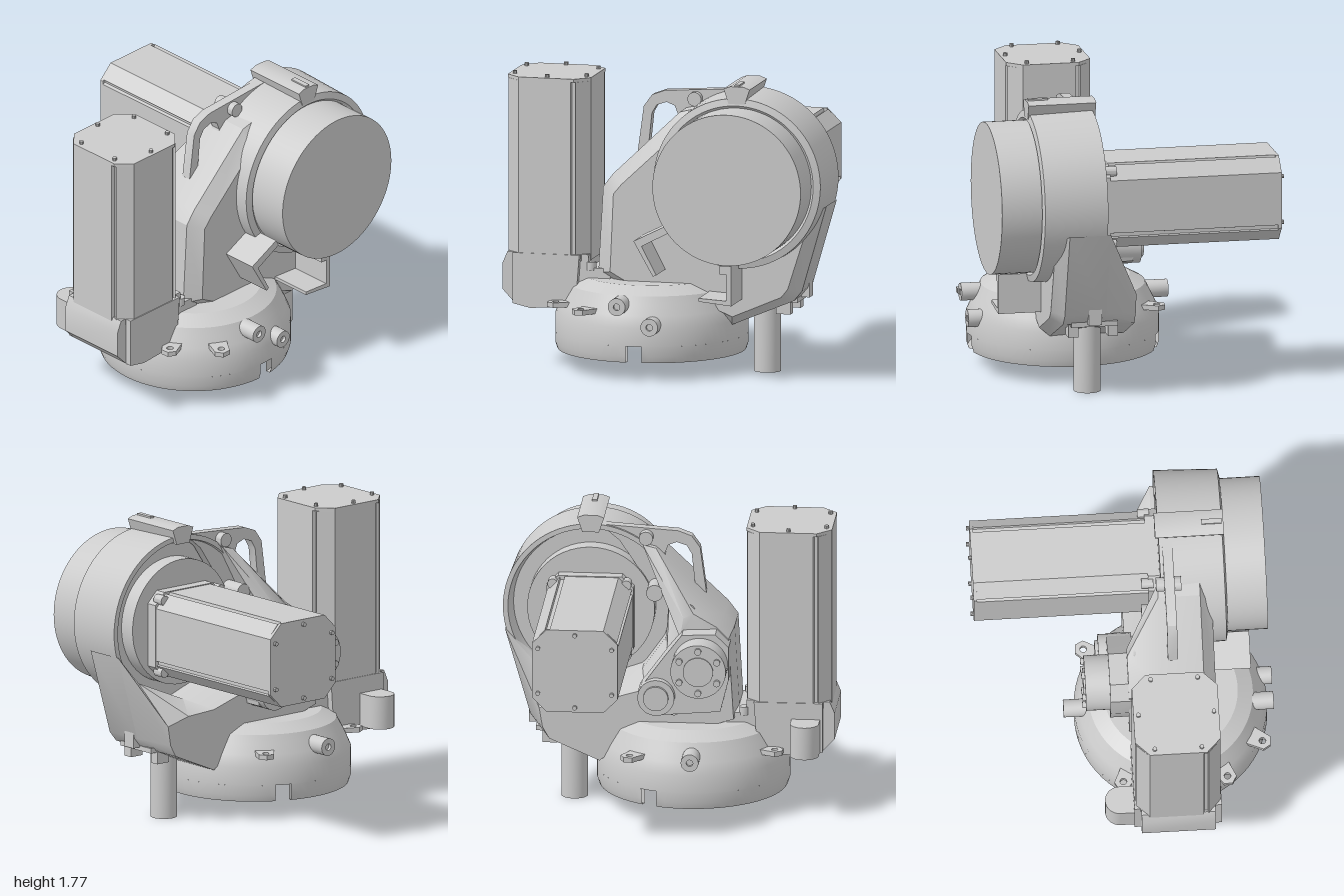
import * as THREE from 'three';
import { toCreasedNormals } from 'three/addons/utils/BufferGeometryUtils.js';

const mat = new THREE.MeshStandardMaterial({ color: 0xcccccc, side: THREE.DoubleSide });
const V = (pts) => pts.map(([x, y]) => new THREE.Vector2(x, y));

export function createModel() {
  const model = new THREE.Group();

  const add = (name, geo, x = 0, y = 0, z = 0, parent = model) => {
    const m = new THREE.Mesh(toCreasedNormals(geo, 0.5), mat);
    m.name = name;
    m.position.set(x, y, z);
    parent.add(m);
    return m;
  };
  const box = (name, x0, x1, y0, y1, z0, z1) =>
    add(name, new THREE.BoxGeometry(x1 - x0, y1 - y0, z1 - z0), (x0 + x1) / 2, (y0 + y1) / 2, (z0 + z1) / 2);
  // cylinder along z, from z0 to z1
  const rod = (name, r, x, y, z0, z1, parent = model, seg = 28) =>
    add(name, new THREE.CylinderGeometry(r, r, z1 - z0, seg).rotateX(Math.PI / 2), x, y, (z0 + z1) / 2, parent);
  // flat plate in the xy plane, from z0 to z1
  const plate = (name, pts, z0, z1, hole, parent = model) => {
    const s = new THREE.Shape(V(pts));
    if (hole) s.holes.push(new THREE.Path(V(hole)));
    return add(name, new THREE.ExtrudeGeometry(s, { depth: z1 - z0, bevelEnabled: false }), 0, 0, z0, parent);
  };
  // solid skinned over matching outlines placed at rising z
  const loft = (name, sections) => {
    const pos = [];
    const put = (s, i) => pos.push(...s.pts[i], s.z);
    const n = sections[0].pts.length;
    for (let k = 0; k < sections.length - 1; k++) {
      const a = sections[k], b = sections[k + 1];
      for (let i = 0; i < n; i++) {
        const j = (i + 1) % n;
        put(a, i); put(a, j); put(b, j);
        put(a, i); put(b, j); put(b, i);
      }
    }
    const first = sections[0], last = sections[sections.length - 1];
    for (const [a, b, c] of THREE.ShapeUtils.triangulateShape(V(first.pts), [])) { put(first, a); put(first, c); put(first, b); }
    for (const [a, b, c] of THREE.ShapeUtils.triangulateShape(V(last.pts), [])) { put(last, a); put(last, b); put(last, c); }
    const g = new THREE.BufferGeometry();
    g.setAttribute('position', new THREE.Float32BufferAttribute(pos, 3));
    return add(name, g);
  };

  // Round base with a hollow underside
  const BX = -0.14, BZ = 0.28;
  add('base', new THREE.LatheGeometry(V([[0, 0.21], [0.575, 0.21], [0.575, 0.32], [0.545, 0.39], [0.515, 0.45],
    [0.49, 0.5], [0.4, 0.55], [0, 0.55]]), 72), BX, 0, BZ);
  // Lower skirt in two arcs, leaving a front and a rear notch
  const notches = [0.06, 2.74], half = 0.085;
  notches.forEach((a, i) => {
    const end = i ? notches[0] + Math.PI * 2 : notches[1];
    add('baseSkirt', new THREE.LatheGeometry(V([[0.535, 0.21], [0.535, 0.11], [0.562, 0.11], [0.575, 0.15], [0.575, 0.21]]),
      36, a + half, end - a - half * 2), BX, 0, BZ);
  });
  // Hollow bosses on the base wall
  const boss = (x, y, z0, z1, face) => {
    const r = 0.053;
    add('baseBoss', new THREE.LatheGeometry(V([[0.02, z0], [r, z0], [r, z1], [0.02, z1], [0.02, z0]]), 24)
      .rotateX(face * Math.PI / 2), x, y, 0);
    rod('bossPlug', 0.021, x, y, ...(face > 0 ? [z0, z1 - 0.02] : [-z1 + 0.02, -z0]));
  };
  boss(-0.2, 0.45, 0.74, 0.89, 1);
  boss(0, 0.335, 0.78, 0.89, 1);
  boss(-0.17, 0.42, 0.2, 0.36, -1);
  // Ear tabs with holes around the base
  [[-0.65, -0.03], [-0.65, 0.59], [-0.44, 0.81], [0.2, -0.22]].forEach(([x, z]) => {
    const s = new THREE.Shape(V([[-0.2, -0.07], [0.03, -0.045], [0.055, 0], [0.03, 0.045], [-0.2, 0.07]]));
    s.holes.push(new THREE.Path().absarc(0, 0, 0.02, 0, Math.PI * 2));
    add('baseTab', new THREE.ExtrudeGeometry(s, { depth: 0.03, bevelEnabled: false }).rotateX(-Math.PI / 2), x, 0.385, z)
      .rotation.y = Math.atan2(BZ - z, x - BX);
  });

  // Cast arm that carries the round housing
  const mid = [[-0.42, 0.58], [-0.15, 0.5], [0.2, 0.45], [0.40, 0.30], [0.78, 0.46], [0.83, 0.52], [0.98, 1.04],
    [0.82, 0.86], [0.47, 0.71], [0.16, 0.82], [0.02, 1.02], [0.0, 1.3], [0.16, 1.59], [0.08, 1.57], [-0.33, 1.18], [-0.39, 1.1]];
  const back = [[-0.4, 0.58], [-0.15, 0.5], [0.2, 0.45], [0.40, 0.30], [0.7, 0.43], [0.74, 0.5], [0.76, 0.62],
    [0.6, 0.66], [0.4, 0.67], [0.13, 0.75], [0.0, 0.92], [-0.08, 1.08], [-0.1, 1.2], [-0.16, 1.23], [-0.3, 1.15], [-0.37, 1.08]];
  const front = [[-0.33, 0.6], [-0.15, 0.5], [0.2, 0.45], [0.42, 0.36], [0.72, 0.49], [0.76, 0.54], [0.9, 0.98],
    [0.82, 0.86], [0.47, 0.71], [0.16, 0.82], [0.02, 1.02], [0.0, 1.3], [0.14, 1.52], [0.08, 1.45], [-0.26, 1.13], [-0.31, 1.07]];
  loft('arm', [{ z: 0.02, pts: back }, { z: 0.22, pts: mid }, { z: 0.47, pts: mid }, { z: 0.54, pts: front }]);

  // Round housing, open at the back, with the front drum
  const HX = 0.47, HY = 1.18;
  add('housing', new THREE.LatheGeometry(V([[0, 0.34], [0.47, 0.34], [0.495, 0.24], [0.525, 0.24], [0.512, 0.62],
    [0.47, 0.63], [0.455, 0.615], [0.455, 0.87], [0, 0.87]]), 80).rotateX(Math.PI / 2), HX, HY, 0);
  rod('motorSeat', 0.38, HX, HY, 0.24, 0.36, model, 56);
  plate('housingTab', [[0.42, 1.66], [0.52, 1.66], [0.55, 1.75], [0.51, 1.765], [0.43, 1.765], [0.39, 1.75]], 0.22, 0.63);
  box('tabKey', 0.455, 0.485, 1.75, 1.775, 0.5, 0.62);

  // Brackets below the drum
  plate('vBracket', [[-0.13, 0.83], [-0.01, 0.62], [0.01, 0.63], [-0.08, 0.8], [0.09, 0.89], [0.07, 0.93]], 0.5, 0.76);
  plate('lBracket', [[0.28, 0.49], [0.48, 0.47], [0.48, 0.71], [0.41, 0.71], [0.41, 0.66], [0.45, 0.66], [0.45, 0.5], [0.28, 0.51]],
    0.5, 0.8);

  // Handle plate with its cross pin
  plate('handle', [[-0.23, 1.2], [0.1, 1.3], [0.3, 1.6], [0.42, 1.7], [-0.05, 1.67], [-0.13, 1.64], [-0.18, 1.57]], 0.26, 0.32,
    [[-0.15, 1.34], [0.01, 1.48], [0.03, 1.53], [0.01, 1.58], [-0.04, 1.6], [-0.1, 1.58], [-0.13, 1.53]]);
  rod('handlePin', 0.042, 0.14, 1.63, 0.21, 0.36);

  // Finned motor running along +z, origin at the mounting end
  const motor = (name, length) => {
    const g = new THREE.Group();
    g.name = name;
    const side = [[0.255, -0.17], [0.255, 0.15], [0.235, 0.155], [0.235, 0.175], [0.25, 0.18]];
    const outline = [], cap = [];
    for (let k = 0; k < 4; k++) {
      const c = [1, 0, -1, 0][k], s = [0, 1, 0, -1][k];
      side.forEach(([x, y]) => outline.push([x * c - y * s, x * s + y * c]));
      [[0.255, -0.17], [0.255, 0.17]].forEach(([x, y]) => cap.push([x * c - y * s, x * s + y * c]));
    }
    plate('motorBody', outline, 0, length - 0.02, null, g);
    plate('motorCap', cap, length - 0.02, length, null, g);
    [[0.22, 0.14], [-0.22, 0.14], [0.22, -0.14], [-0.22, -0.14], [0, 0.225], [0, -0.225]]
      .forEach(([x, y]) => rod('capBolt', 0.013, x, y, length - 0.01, length + 0.018, g, 10));
    model.add(g);
    return g;
  };
  const upright = motor('uprightMotor', 1.1);
  upright.rotation.x = -Math.PI / 2;
  upright.position.set(-0.725, 0.65, 0.28);
  const rear = motor('rearMotor', 1.07);
  rear.rotation.y = Math.PI;
  rear.position.set(0.47, 1.14, 0.2);
  plate('rearMotorFlange', [[0.28, 0.88], [0.66, 0.88], [0.73, 0.95], [0.73, 1.33], [0.66, 1.4], [0.28, 1.4], [0.21, 1.33], [0.21, 0.95]],
    0.17, 0.26);
  for (const x of [0.25, 0.69]) for (const y of [0.92, 1.36]) rod('flangeBolt', 0.03, x, y, 0.13, 0.2);

  // Carrier under the upright motor
  plate('motorCarrier', [[-1, 0.46], [-0.93, 0.385], [-0.82, 0.36], [-0.76, 0.375], [-0.68, 0.36], [-0.5, 0.42], [-0.35, 0.5], [-0.33, 0.61],
    [-0.47, 0.61], [-0.475, 0.69], [-0.97, 0.69], [-1, 0.62]], 0.06, 0.5);
  plate('carrierFrame', [[-0.93, 0.385], [-0.82, 0.36], [-0.68, 0.37], [-0.54, 0.42], [-0.52, 0.69], [-0.93, 0.69]], 0.02, 0.54);
  add('carrierLug', new THREE.CylinderGeometry(0.085, 0.085, 0.2, 28), -0.83, 0.49, -0.065);
  box('carrierLugWeb', -0.915, -0.745, 0.39, 0.59, -0.065, 0.08);
  for (const z of [0.08, 0.48]) add('carrierBolt', new THREE.CylinderGeometry(0.03, 0.03, 0.05, 16), -0.46, 0.62, z);

  // Drive unit on the back of the arm
  plate('driveMount', [[-0.38, 0.86], [-0.33, 0.66], [0.03, 0.63], [0.14, 0.67], [0.16, 0.78], [0.0, 1.0], [-0.1, 1.13], [-0.3, 1.14], [-0.38, 1.06]],
    -0.09, 0.06);
  rod('driveDrum', 0.165, -0.21, 0.95, -0.235, -0.05, model, 44);
  rod('driveCap', 0.09, -0.21, 0.95, -0.245, -0.2, model, 32);
  for (let i = 0; i < 6; i++) {
    const a = (i + 0.5) * Math.PI / 3;
    rod('driveBolt', 0.02, -0.21 + 0.13 * Math.cos(a), 0.95 + 0.13 * Math.sin(a), -0.255, -0.2, model, 12);
  }
  rod('idlerBoss', 0.11, 0.05, 0.75, -0.14, 0.05, model, 36);
  rod('idlerCap', 0.075, 0.05, 0.75, -0.16, -0.1, model, 32);
  rod('armBoss', 0.05, -0.12, 1.23, 0.06, 0.26);
  rod('armBoss', 0.05, 0.08, 1.32, 0.12, 0.3);
  rod('armBoss', 0.04, -0.05, 0.66, -0.06, 0.1);

  // Post and cable clamp under the right end of the arm
  add('post', new THREE.CylinderGeometry(0.08, 0.08, 0.45, 36), 0.57, 0.225, 0.28);
  box('clampPlate', 0.72, 0.79, 0.44, 0.47, 0.14, 0.42);
  for (const z of [0.16, 0.4]) box('clampJaw', 0.66, 0.75, 0.37, 0.45, z - 0.03, z + 0.03);
  box('clampStrap', 0.76, 0.84, 0.46, 0.64, 0.245, 0.325);

  return model;
}
